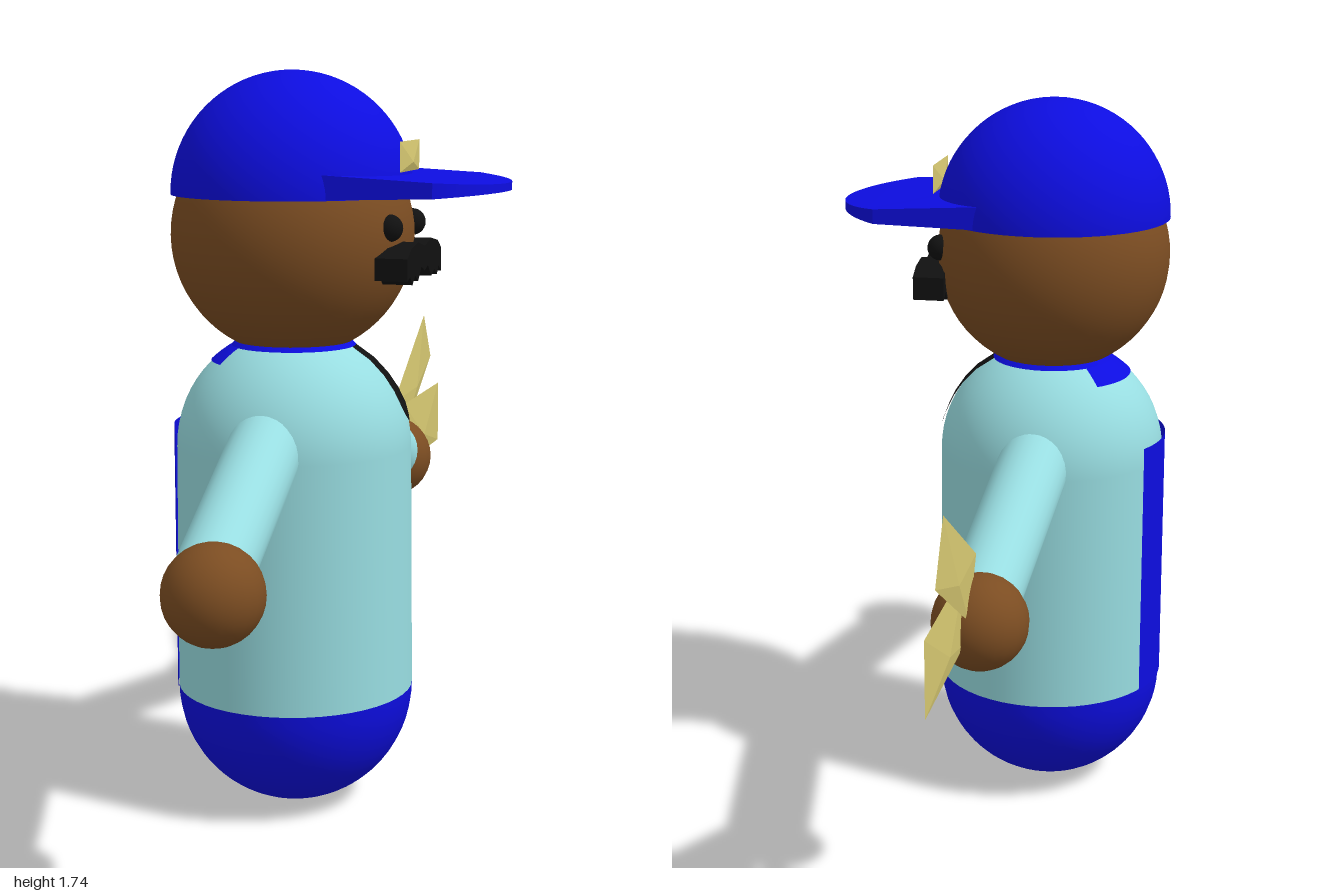
import * as THREE from 'three';

const paint = (name, color) => {
  const m = new THREE.MeshStandardMaterial({ color, side: THREE.DoubleSide });
  m.name = name;
  return m;
};

export function createModel() {
  const blue = paint('uniformBlue', 0x0d0de0);
  const cyan = paint('shirtCyan', 0x98dde1);
  const brown = paint('skinBrown', 0x7c4d22);
  const black = paint('black', 0x111111);
  const tan = paint('envelopeTan', 0xd4c670);

  const model = new THREE.Group();
  model.name = 'letterCarrier';
  // The upright figure is built around its own axis and faces +x
  const figure = new THREE.Group();
  figure.name = 'figure';
  figure.position.set(-0.118, 0, 0.172);
  model.add(figure);

  const add = (parent, name, geometry, material, x = 0, y = 0, z = 0) => {
    const mesh = new THREE.Mesh(geometry, material);
    mesh.name = name;
    mesh.position.set(x, y, z);
    parent.add(mesh);
    return mesh;
  };

  // Torso: rounded base, slightly tapering shirt, domed shoulders
  const R = 0.276, SHOULDER = 0.868;
  const radius = (y) => y < SHOULDER
    ? THREE.MathUtils.mapLinear(y, 0.285, SHOULDER, 0.281, R)
    : Math.sqrt(R * R - (y - SHOULDER) ** 2);
  const base = [], shirt = [new THREE.Vector2(0.281, 0.285)];
  for (let i = 0; i <= 16; i++) {
    const a = (i / 16) * Math.PI / 2;
    base.push(new THREE.Vector2(0.281 * Math.sin(a), 0.285 - 0.281 * Math.cos(a)));
    shirt.push(new THREE.Vector2(R * Math.cos(a), SHOULDER + R * Math.sin(a)));
  }
  base[0].x = 0;
  shirt[shirt.length - 1].x = 0;
  base.forEach((p) => { p.y = Math.max(0, p.y - 0.004 * (1 - p.y / 0.285)); });
  add(figure, 'trousers', new THREE.LatheGeometry(base, 48), blue);
  add(figure, 'shirt', new THREE.LatheGeometry(shirt, 48), cyan);

  // Panel down the back
  const half = 0.5;
  add(figure, 'backPanel', new THREE.CylinderGeometry(0.282, 0.284, 0.635, 16, 1, true,
    Math.PI * 1.5 - half, half * 2), blue, 0, 0.6025, 0);

  // Collar: flap at the back and a thin ring round the neck
  const flap = [];
  for (let i = 0; i <= 5; i++) {
    const y = 1.07 + i * 0.009;
    flap.push(new THREE.Vector2(radius(y) + 0.005, y));
  }
  add(figure, 'collarFlap', new THREE.LatheGeometry(flap, 16, Math.PI * 1.5 - 0.82, 1.64), blue);
  add(figure, 'collarRing', new THREE.CylinderGeometry(0.135, 0.146, 0.012, 40, 1, true), blue, 0, 1.111, 0);

  // Tie laid over the chest: height, then its two edges
  const tieRows = [[1.11, 0.008, -0.047], [1.075, 0.007, -0.048], [1.04, 0.006, -0.05],
    [1.005, 0.005, -0.056], [0.97, 0.003, -0.062], [0.945, -0.01, -0.045], [0.93, -0.03, -0.034]];
  const tiePos = [], tieIndex = [];
  tieRows.forEach(([y, a, b], i) => {
    for (const z of [a, b]) tiePos.push(Math.sqrt(radius(y) ** 2 - z * z) + 0.006, y, z);
    if (i) tieIndex.push(2 * i - 2, 2 * i, 2 * i - 1, 2 * i - 1, 2 * i, 2 * i + 1);
  });
  const tie = new THREE.BufferGeometry();
  tie.setAttribute('position', new THREE.Float32BufferAttribute(tiePos, 3));
  tie.setIndex(tieIndex);
  tie.computeVertexNormals();
  add(figure, 'tie', tie, black);

  // Head and face
  add(figure, 'head', new THREE.SphereGeometry(0.282, 48, 32), brown, 0, 1.362, 0);
  for (const z of [0.093, -0.11]) {
    add(figure, 'eye', new THREE.SphereGeometry(0.031, 20, 14), black, 0.257, 1.388, z);
  }
  const whiskers = new THREE.Shape();
  [[-0.155, 1.275], [-0.155, 1.325], [-0.12, 1.345], [-0.06, 1.355], [0, 1.342], [0.06, 1.355],
    [0.12, 1.345], [0.155, 1.325], [0.155, 1.27], [0.13, 1.285], [0.115, 1.265], [0.09, 1.28],
    [0.06, 1.267], [0.03, 1.295], [0, 1.285], [-0.03, 1.297], [-0.06, 1.267], [-0.085, 1.282],
    [-0.11, 1.263], [-0.13, 1.283]].forEach(([x, y], i) => (i ? whiskers.lineTo(x, y) : whiskers.moveTo(x, y)));
  const moustache = new THREE.ExtrudeGeometry(whiskers, { depth: 0.075, bevelEnabled: false });
  moustache.rotateY(Math.PI / 2);
  add(figure, 'moustache', moustache, black, 0.238, 0, -0.009);

  // Cap crown with a closed underside
  add(figure, 'capCrown', new THREE.SphereGeometry(0.281, 48, 20, 0, Math.PI * 2, 0, Math.PI / 2),
    blue, 0, 1.455, 0);
  const under = new THREE.CircleGeometry(0.281, 48);
  under.rotateX(Math.PI / 2);
  add(figure, 'capUnderside', under, blue, 0, 1.455, 0);

  // Cap brim: straight sides, rounded front, thinning towards the tip
  const outline = new THREE.Shape();
  outline.moveTo(0.08, -0.235);
  outline.lineTo(0.39, -0.235);
  outline.absarc(0.217, 0, 0.292, -0.935, 0.935, false);
  outline.lineTo(0.39, 0.235);
  outline.lineTo(0.08, 0.235);
  const brim = new THREE.ExtrudeGeometry(outline, { depth: 1, bevelEnabled: false, curveSegments: 24 });
  brim.rotateX(-Math.PI / 2);
  const bp = brim.attributes.position;
  for (let i = 0; i < bp.count; i++) {
    const t = THREE.MathUtils.clamp((bp.getX(i) - 0.26) / 0.25, -0.3, 1);
    bp.setY(i, bp.getY(i) > 0.5 ? 1.508 - 0.02 * t : Math.max(1.455, 1.456 + 0.014 * t));
  }
  brim.computeVertexNormals();
  add(figure, 'capBrim', brim, blue);

  // Envelope: thin plate whose four folds meet at a slightly raised point
  const envelope = (parent, name, w, h, x, y, z, tilt = 0) => {
    const c = [[-w, -h], [-w, h], [w, h], [w, -h]].map(([a, b]) => [0, b / 2, a / 2]);
    const pos = [];
    for (let i = 0; i < 4; i++) {
      const a = c[i], b = c[(i + 1) % 4];
      pos.push(...a, ...b, 0.009, -h * 0.2, 0, ...b, ...a, -0.009, -h * 0.2, 0);
    }
    const g = new THREE.BufferGeometry();
    g.setAttribute('position', new THREE.Float32BufferAttribute(pos, 3));
    // Make every triangle face away from the plate's middle plane
    const p = g.attributes.position;
    g.computeVertexNormals();
    for (let i = 0; i < p.count; i += 3) {
      if (g.attributes.normal.getX(i) * p.getX(i + 2) < 0) {
        const u = new THREE.Vector3().fromBufferAttribute(p, i);
        const v = new THREE.Vector3().fromBufferAttribute(p, i + 1);
        p.setXYZ(i, v.x, v.y, v.z);
        p.setXYZ(i + 1, u.x, u.y, u.z);
      }
    }
    g.computeVertexNormals();
    add(parent, name, g, tan, x, y, z).rotation.x = tilt;
  };
  envelope(figure, 'capBadge', 0.172, 0.068, 0.28, 1.545, 0.005);
  envelope(model, 'frontLetter', 0.39, 0.17, -0.058, 0.747, -0.805);
  envelope(model, 'rearLetter', 0.382, 0.15, -0.07, 0.8825, -0.75, 0.552);

  // Arms and hands
  const up = new THREE.Vector3(0, 1, 0);
  for (const [side, s, hand] of [['left', 1, [-0.054, 0.696, 0.893]], ['right', -1, [-0.082, 0.696, -0.567]]]) {
    const from = new THREE.Vector3(-0.112, 0.895, 0.172 + s * 0.23);
    const to = new THREE.Vector3(-0.074, 0.718, 0.172 + s * 0.68);
    const dir = to.clone().sub(from);
    const mid = from.clone().add(to).multiplyScalar(0.5);
    const arm = add(model, side + 'Arm', new THREE.CylinderGeometry(0.083, 0.086, dir.length(), 28),
      cyan, mid.x, mid.y, mid.z);
    arm.quaternion.setFromUnitVectors(up, dir.normalize());
    add(model, side + 'Shoulder', new THREE.SphereGeometry(0.086, 28, 18), cyan, from.x, from.y, from.z);
    add(model, side + 'Hand', new THREE.SphereGeometry(0.108, 24, 16), brown, ...hand);
  }
  return model;
}
